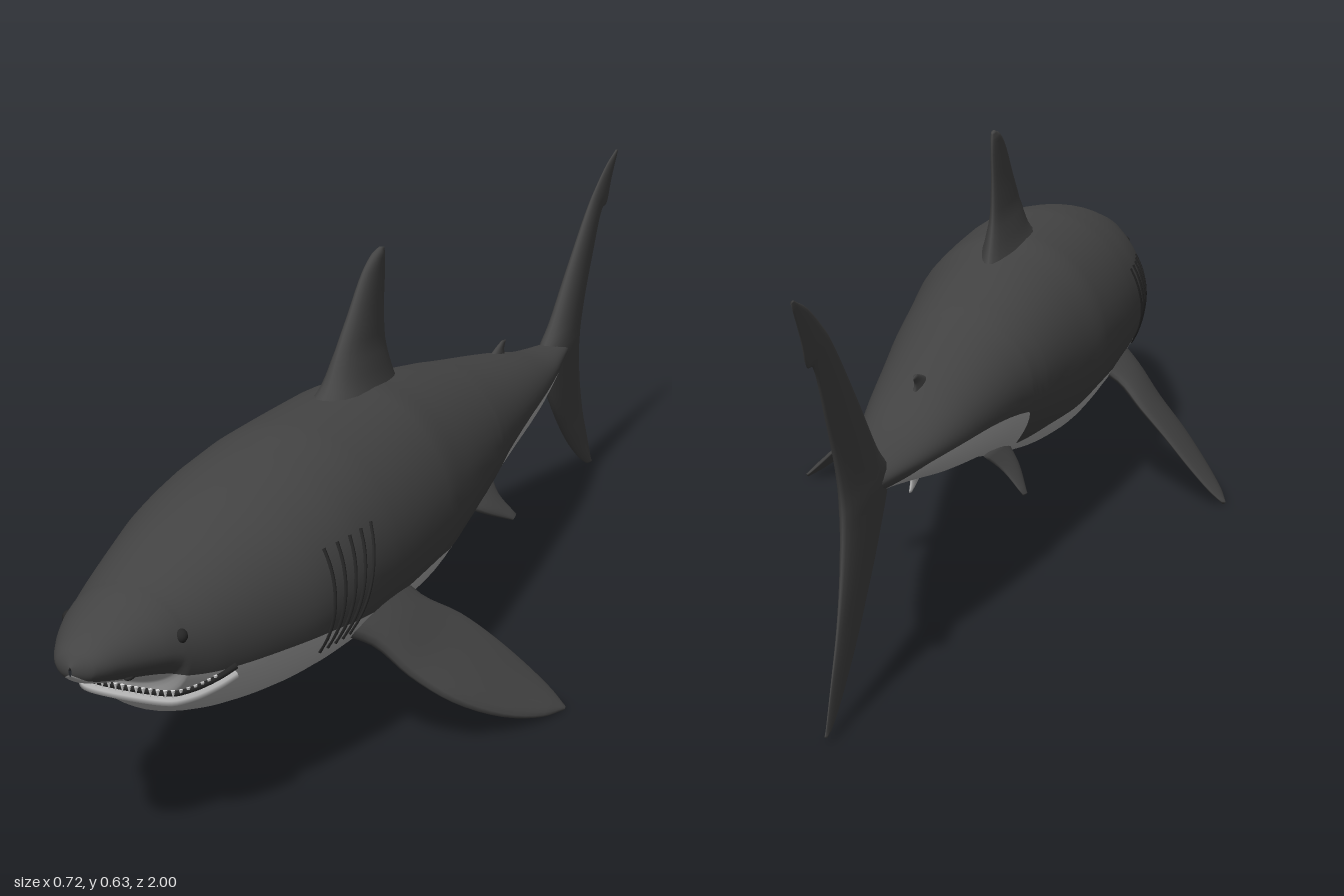
import * as THREE from 'three';

const mat = (name, color) => Object.assign(new THREE.MeshStandardMaterial({ color }), { name });

// Body stations, nose to tail: z, top, bottom, half width, widest height, colour seam height
const STATIONS = [
  [1.0, .300, .288, .002, .294, .290], [.985, .318, .275, .030, .297, .279],
  [.95, .335, .262, .052, .297, .270], [.90, .352, .247, .076, .292, .262],
  [.872, .360, .235, .087, .285, .255], [.858, .363, .200, .092, .280, .250],
  [.80, .377, .165, .112, .272, .240], [.70, .402, .137, .140, .265, .232],
  [.60, .422, .122, .163, .265, .225], [.50, .437, .113, .172, .268, .210],
  [.40, .446, .106, .172, .270, .195], [.20, .447, .100, .165, .270, .200],
  [.10, .435, .110, .153, .270, .185], [0, .420, .130, .140, .275, .185],
  [-.10, .403, .153, .127, .280, .180], [-.13, .398, .161, .122, .281, .200],
  [-.17, .390, .172, .116, .282, .250], [-.40, .346, .213, .083, .282, .275],
  [-.55, .313, .245, .054, .283, .277], [-.64, .302, .262, .033, .284, .272],
  [-.72, .295, .272, .015, .284, .273],
];

// Smooth interpolation of the stations without overshoot
function sample(z) {
  const S = STATIONS, n = S.length;
  let i = 0;
  while (i < n - 2 && z < S[i + 1][0]) i++;
  const h = S[i + 1][0] - S[i][0], t = (z - S[i][0]) / h;
  const slope = (k, c) => (S[k + 1][c] - S[k][c]) / (S[k + 1][0] - S[k][0]);
  const tangent = (k, c) => {
    if (k === 0) return slope(0, c);
    if (k === n - 1) return slope(n - 2, c);
    const a = slope(k - 1, c), b = slope(k, c);
    return a * b <= 0 ? 0 : 2 * a * b / (a + b);
  };
  const [top, bottom, width, mid, seam] = [1, 2, 3, 4, 5].map(c =>
    S[i][c] * (1 + 2 * t) * (1 - t) ** 2 + S[i + 1][c] * t * t * (3 - 2 * t)
    + h * tangent(i, c) * t * (1 - t) ** 2 + h * tangent(i + 1, c) * t * t * (t - 1));
  return { top, bottom, width, mid, seam };
}

// Point on the flank at a given z and height
function flank(z, y, side = 1, out = 0) {
  const s = sample(z);
  const k = (y - s.mid) / (y > s.mid ? s.top - s.mid : s.mid - s.bottom);
  return new THREE.Vector3(side * (s.width * Math.sqrt(Math.max(0, 1 - k * k)) + out), y, z);
}

function geometryFrom(pos, index) {
  const g = new THREE.BufferGeometry();
  g.setAttribute('position', new THREE.Float32BufferAttribute(pos, 3));
  g.setIndex(index);
  g.computeVertexNormals();
  return g;
}

// One smooth skin; rings are split at the seam into back and belly
function bodyGeometry() {
  const UP = 32, LOW = 20, N = UP + LOW, SUB = 5, pos = [], upper = [], lower = [], zs = [];
  STATIONS.forEach((s, i) => {
    const next = STATIONS[i + 1];
    if (!next) zs.push(s[0]);
    else for (let k = 0; k < SUB; k++) zs.push(s[0] + (next[0] - s[0]) * k / SUB);
  });
  zs.forEach((z, i) => {
    const s = sample(z);
    const phi = Math.asin(THREE.MathUtils.clamp((s.mid - s.seam) / (s.mid - s.bottom), 0, 1));
    for (let j = 0; j < N; j++) {
      const a = j < UP ? -phi + (Math.PI + 2 * phi) * j / UP
        : Math.PI + phi + (Math.PI - 2 * phi) * (j - UP) / LOW;
      const v = Math.sin(a);
      pos.push(s.width * Math.cos(a), s.mid + v * (v > 0 ? s.top - s.mid : s.mid - s.bottom), z);
      if (i < zs.length - 1) {
        const p = i * N + j, q = i * N + (j + 1) % N;
        (j < UP ? upper : lower).push(p, p + N, q, q, p + N, q + N);
      }
    }
  });
  const g = geometryFrom(pos, [...upper, ...lower]);
  g.addGroup(0, upper.length, 0);
  g.addGroup(upper.length, lower.length, 1);
  return g;
}

// Fin lofted through rows of [leading point, trailing point, half thickness]
function finGeometry(rows, normal = [1, 0, 0], side = 1) {
  const M = 20, R = (rows.length - 1) * 4, pos = [], index = [];
  const flip = p => new THREE.Vector3(p[0] * side, p[1], p[2]);
  const lead = new THREE.CatmullRomCurve3(rows.map(r => flip(r[0])));
  const trail = new THREE.CatmullRomCurve3(rows.map(r => flip(r[1])));
  const dir = flip(normal).normalize();
  for (let i = 0; i <= R; i++) {
    const t = i / R, f = t * (rows.length - 1), k = Math.min(Math.floor(f), rows.length - 2);
    const thick = THREE.MathUtils.lerp(rows[k][2], rows[k + 1][2], f - k);
    const a = lead.getPoint(t), b = trail.getPoint(t);
    for (let j = 0; j < M; j++) {
      const ang = j / M * Math.PI * 2, u = (1 - Math.cos(ang)) / 2;
      const p = a.clone().lerp(b, u).addScaledVector(dir, Math.sin(ang) * thick * (1.25 - .6 * u));
      pos.push(p.x, p.y, p.z);
      if (i < R) {
        const c = i * M + j, d = i * M + (j + 1) % M;
        index.push(c, d, c + M, d, d + M, c + M);
      }
    }
  }
  for (let j = 1; j < M - 1; j++) {
    index.push(0, j + 1, j, R * M, R * M + j, R * M + j + 1);
  }
  // Turn the faces outward whichever way the rows run
  let volume = 0;
  const at = n => new THREE.Vector3().fromArray(pos, n * 3);
  for (let n = 0; n < index.length; n += 3) {
    volume += at(index[n]).dot(at(index[n + 1]).cross(at(index[n + 2])));
  }
  return geometryFrom(pos, volume < 0 ? index.reverse() : index);
}

// Rows for an upright fin on the centre line: leadZ, leadY, trailZ, trailY, half thickness
const upright = rows => rows.map(([a, b, c, d, t]) => [[0, a, b], [0, c, d], t].map((p, i) =>
  i === 0 ? [0, b, a] : i === 1 ? [0, d, c] : p));

export function createModel() {
  const model = new THREE.Group();
  model.name = 'shark';
  const back = mat('slate back', 0x444444), belly = mat('pale belly', 0xb4b4b4);
  const dark = mat('dark slit', 0x262626), ivory = mat('tooth ivory', 0xdedede);
  const add = (name, geo, material) => {
    const m = new THREE.Mesh(geo, material);
    m.name = name;
    model.add(m);
    return m;
  };
  const tube = (pts, r, n = 24) => new THREE.TubeGeometry(new THREE.CatmullRomCurve3(pts), n, r, 6);

  add('body', bodyGeometry(), [back, belly]);

  add('dorsalFin', finGeometry(upright([
    [.32, .43, .02, .395, .045], [.27, .46, .05, .44, .030], [.235, .505, .072, .49, .018],
    [.195, .55, .075, .545, .013], [.145, .605, .07, .595, .009], [.11, .626, .07, .618, .007],
    [.085, .633, .072, .63, .003],
  ])), back);
  add('secondDorsalFin', finGeometry(upright([
    [-.36, .345, -.43, .33, .009], [-.385, .355, -.425, .35, .005], [-.415, .364, -.435, .362, .002],
  ])), back);
  add('analFin', finGeometry(upright([
    [-.39, .222, -.45, .232, .008], [-.42, .212, -.45, .215, .005], [-.45, .202, -.46, .203, .002],
  ])), belly);
  add('tailFin', finGeometry(upright([
    [-.99, .596, -1.0, .594, .002], [-.94, .577, -.965, .545, .004], [-.885, .545, -.94, .503, .006],
    [-.85, .52, -.915, .497, .007], [-.75, .425, -.865, .42, .012], [-.66, .33, -.82, .34, .018],
    [-.61, .285, -.80, .28, .023], [-.64, .22, -.805, .21, .017], [-.70, .14, -.83, .13, .010],
    [-.78, .065, -.86, .07, .006], [-.86, .015, -.885, .02, .003], [-.885, .010, -.89, .012, .002],
  ])), back);

  for (const side of [1, -1]) {
    const label = side > 0 ? 'left' : 'right';
    add(label + 'PectoralFin', finGeometry([
      [[.11, .20, .53], [.11, .215, .30], .026], [[.165, .165, .475], [.165, .18, .31], .020],
      [[.21, .115, .45], [.21, .145, .27], .016], [[.26, .07, .415], [.255, .105, .245], .013],
      [[.31, .03, .35], [.30, .06, .225], .010], [[.345, .008, .28], [.335, .025, .217], .007],
      [[.36, .002, .23], [.355, .006, .22], .003],
    ], [.65, .76, 0], side), back);
    add(label + 'PelvicFin', finGeometry([
      [[.055, .18, -.09], [.055, .195, -.23], .012], [[.085, .155, -.13], [.08, .165, -.205], .008],
      [[.112, .128, -.19], [.110, .132, -.21], .003],
    ], [.7, .7, 0], side), back);

    // Five gill slits following the flank
    for (let i = 0; i < 5; i++) {
      const pts = [];
      for (let k = 0; k <= 6; k++) {
        const u = k / 6;
        pts.push(flank(.59 - .031 * i + u * (.01 + .012 * i), .34 - .145 * u, side));
      }
      add(label + 'GillSlit' + (i + 1), tube(pts, .003), dark);
    }
    const eye = add(label + 'Eye', new THREE.SphereGeometry(.010, 16, 12), dark);
    eye.position.copy(flank(.868, .306, side, -.005));
    const nostril = add(label + 'Nostril', new THREE.SphereGeometry(.006, 12, 8), dark);
    nostril.position.copy(flank(.93, .268, side, -.003));
    nostril.scale.set(1, .6, 1.6);
  }

  // Mouth line wrapped around the jaw, with a lower lip and a row of teeth
  const half = [.785, .81, .835, .85, .858, .863, .866].map(z =>
    flank(z, .222 + .018 * ((.866 - z) / .081) ** 1.5, 1, .001));
  half[half.length - 1].x = 0;
  const mouth = [...half, ...half.slice(0, -1).reverse().map(p => new THREE.Vector3(-p.x, p.y, p.z))];
  add('mouthLine', tube(mouth, .005, 60), dark);
  add('lowerLip', tube(mouth.map(p => new THREE.Vector3(p.x, p.y - .011, p.z + .001)), .007, 60), belly);
  const line = new THREE.CatmullRomCurve3(mouth);
  const toothShape = new THREE.ConeGeometry(.0035, .012, 4).rotateX(Math.PI);
  for (let i = 0; i < 26; i++) {
    const tooth = add('tooth' + (i + 1), toothShape, ivory);
    tooth.position.copy(line.getPointAt(.1 + .8 * i / 25)).add(new THREE.Vector3(0, -.001, .004));
  }
  return model;
}
